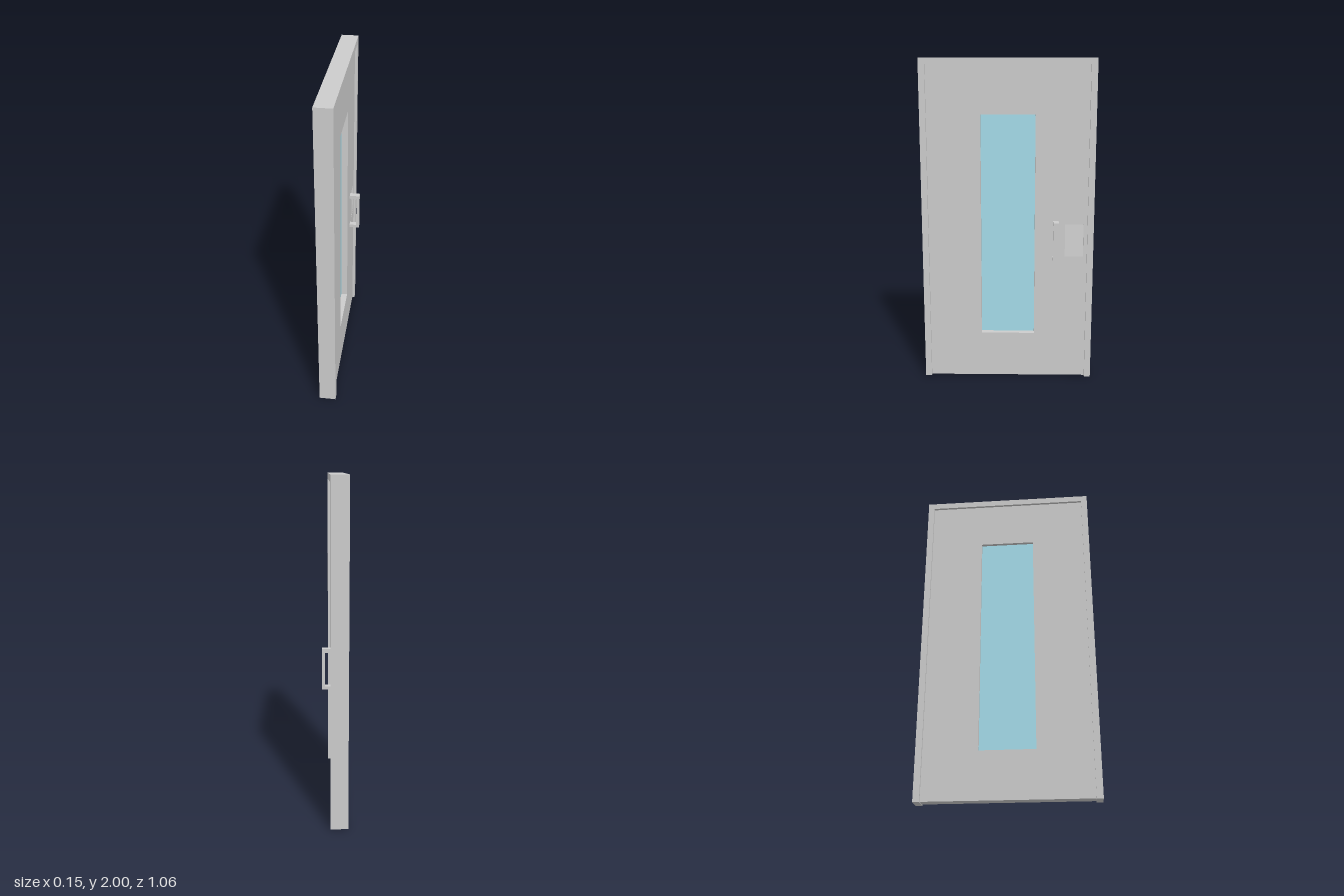
import * as THREE from 'three';

const grey = new THREE.MeshStandardMaterial({ color: 0xcccccc, flatShading: true });
const glassBlue = new THREE.MeshStandardMaterial({ color: 0xa4dbe9, flatShading: true });

const FRAME = { back: -0.074, front: 0.028, half: 0.528, top: 2, width: 0.038 };
const LEAF = { back: -0.058, front: 0.012, bottom: 0.004 };
const WINDOW = [-0.166, 0.29, 0.166, 1.67];
const RECESS = [0.353, 0.796, 0.467, 1.0];

const polygon = (pts) => new THREE.Shape(pts.map(([a, b]) => new THREE.Vector2(a, b)));
const rect = ([a, b, c, d]) => polygon([[a, b], [c, b], [c, d], [a, d]]);

function extrude(shape, depth) {
  return new THREE.ExtrudeGeometry(shape, { depth, bevelEnabled: false });
}

// Outline in (-z, y), given thickness between two x positions
function panel(shape, x0, x1) {
  return extrude(shape, x1 - x0).rotateY(Math.PI / 2).translate(x0, 0, 0);
}

// Profile in (x, y), swept between two z positions
function sweep(shape, z0, z1) {
  return extrude(shape, z1 - z0).translate(0, 0, z0);
}

export function createModel() {
  const model = new THREE.Group();
  model.name = 'door';
  const add = (name, geometry, material = grey) => {
    const mesh = new THREE.Mesh(geometry, material);
    mesh.name = name;
    model.add(mesh);
  };

  // Three-sided frame, open at the floor
  const { half: o, top: t, width: w } = FRAME;
  const i = o - w;
  add('frame', panel(polygon([
    [-o, 0], [-i, 0], [-i, t - w], [i, t - w], [i, 0], [o, 0], [o, t], [-o, t],
  ]), FRAME.back, FRAME.front));

  // Leaf with openings for the window and the finger recess
  const leaf = rect([-i, LEAF.bottom, i, t - w]);
  leaf.holes.push(rect(WINDOW), rect(RECESS));
  add('leaf', panel(leaf, LEAF.back, LEAF.front));

  // Sloping floor of the finger recess, deepest at the top
  const [r0, rBottom, r1, rTop] = RECESS;
  add('recessFloor', sweep(polygon([
    [LEAF.back, rBottom], [LEAF.front - 0.001, rBottom],
    [LEAF.front - 0.022, rTop], [LEAF.back, rTop],
  ]), -r1, -r0));

  // Window pane
  add('windowPane', panel(rect(WINDOW), -0.038, -0.028), glassBlue);

  // Square-cornered pull handle
  const h = LEAF.front, grip = 0.074, inner = 0.056;
  add('handle', sweep(polygon([
    [h, 0.779], [grip, 0.779], [grip, 1.022], [h, 1.022],
    [h, 1.0], [inner, 1.0], [inner, 0.798], [h, 0.798],
  ]), -0.312, -0.278));

  return model;
}
